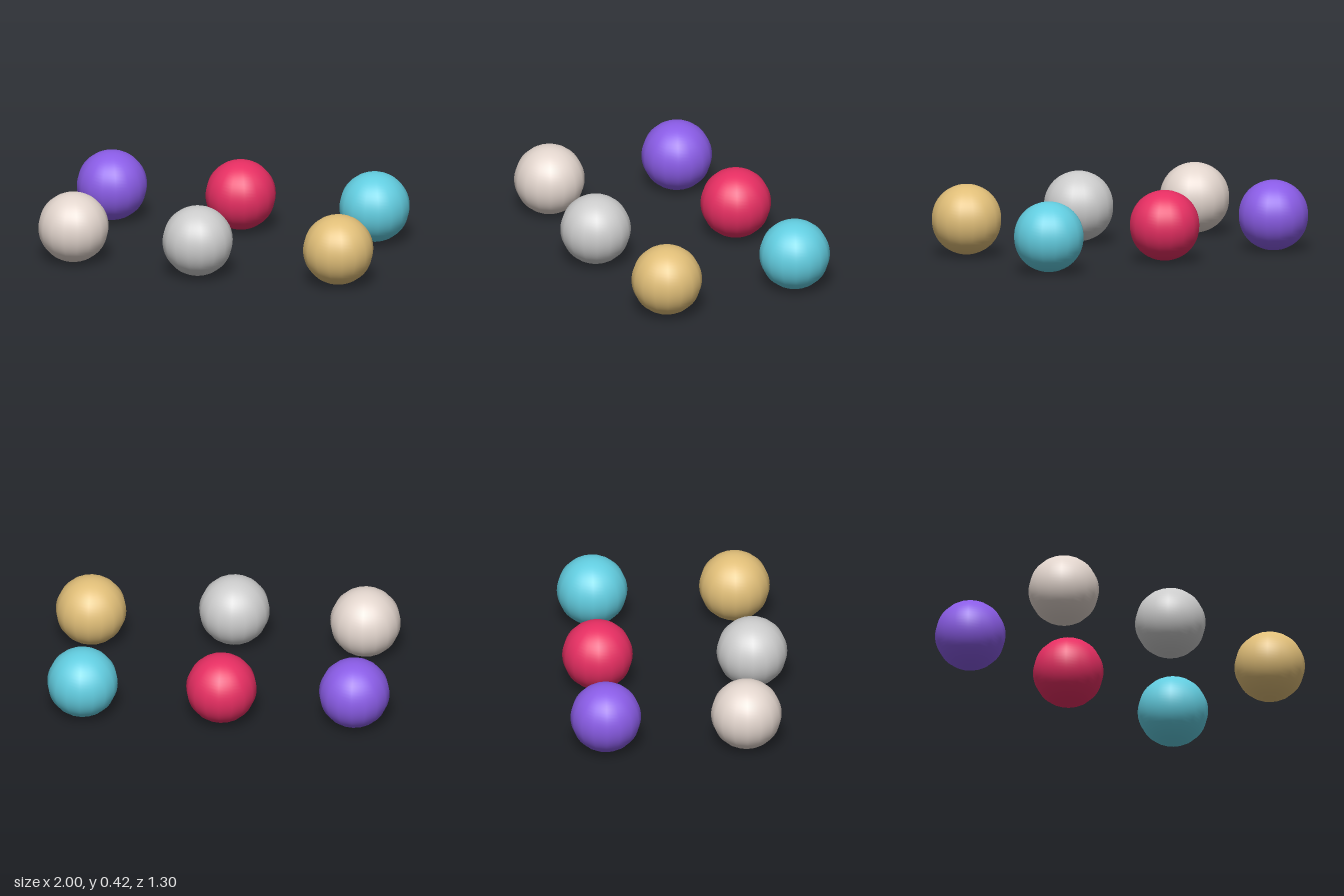
import * as THREE from 'three';

// Six smooth balls in two loose rows: name, colour, centre
const RADIUS = 0.204;
const BALLS = [
  ['purpleBall', 0x8a5ce6, [-0.796, 0.204, -0.428]],
  ['redBall', 0xe62e62, [-0.028, 0.21, -0.446]],
  ['cyanBall', 0x62cde0, [0.776, 0.21, -0.446]],
  ['beigeBall', 0xe2d5cd, [-0.792, 0.206, 0.384]],
  ['greyBall', 0xcccccc, [-0.028, 0.212, 0.446]],
  ['goldBall', 0xe0be78, [0.796, 0.212, 0.377]],
];

export function createModel() {
  const group = new THREE.Group();
  group.name = 'balls';

  // Shared sphere: 16 sides around, finer from pole to pole
  const sphere = new THREE.SphereGeometry(RADIUS, 16, 32);

  for (const [name, color, position] of BALLS) {
    const ball = new THREE.Mesh(sphere, new THREE.MeshStandardMaterial({ color }));
    ball.name = name;
    ball.position.set(...position);
    group.add(ball);
  }
  return group;
}
